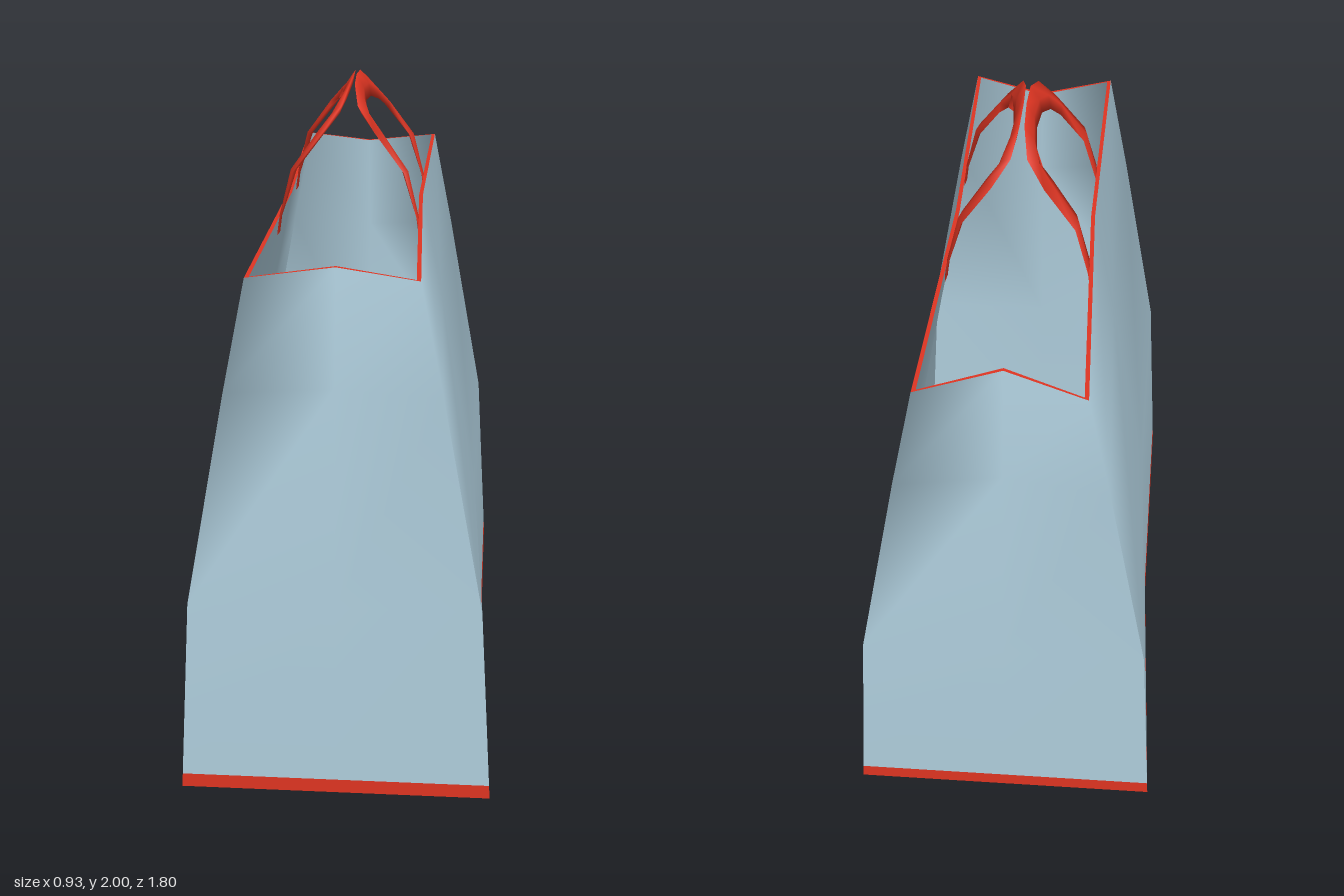
import * as THREE from 'three';

const blue = new THREE.MeshStandardMaterial({ color: 0xb0cfde });
blue.name = 'pale blue paper';
const red = new THREE.MeshStandardMaterial({ color: 0xe03522 });
red.name = 'red trim';

const DEPTH = 0.9, WALL = 0.012;
// Bag profile: height, half width, inward fold of the end panels, soft corners
const BASE = { y: 0, w: 0.465, fold: 0 };
const LEVELS = [
  { y: 0.045, w: 0.462, fold: 0 },
  { y: 0.63, w: 0.425, fold: 0 },
  { y: 1.29, w: 0.302, fold: 0.05, soft: true },
  { y: 1.62, w: 0.235, fold: 0.11, soft: true },
];

// Eight points around the bag, counterclockwise from above
function ring({ y, w, fold }, inset = 0) {
  const a = w - inset, m = a - 0.02, d = DEPTH - inset, e = d - fold;
  return [[a, d], [m, 0], [a, -d], [0, -e], [-a, -d], [-m, 0], [-a, d], [0, e]]
    .map(([x, z]) => [x, y, z]);
}

function build(points, index) {
  const g = new THREE.BufferGeometry();
  g.setAttribute('position', new THREE.Float32BufferAttribute(points.flat(), 3));
  g.setIndex(index);
  g.computeVertexNormals();
  return g;
}

// Four panels of two strips each; corners are shared only on soft levels
function walls(levels, inset, flip) {
  const points = [], index = [];
  for (const level of levels) {
    const r = ring(level, inset);
    for (let p = 0; p < 4; p++) for (let k = 0; k < 3; k++) points.push(r[(p * 2 + k) % 8]);
  }
  const id = (l, p, k) => l * 12 + (levels[l].soft && k === 2 ? ((p + 1) % 4) * 3 : p * 3 + k);
  for (let l = 0; l < levels.length - 1; l++)
    for (let p = 0; p < 4; p++)
      for (let k = 0; k < 2; k++) {
        const a = id(l, p, k), b = id(l, p, k + 1), c = id(l + 1, p, k + 1), d = id(l + 1, p, k);
        index.push(...(flip ? [a, c, b, a, d, c] : [a, b, c, a, c, d]));
      }
  return build(points, index);
}

// Flat sheet closing a ring
function sheet(points, faceUp) {
  const index = [];
  for (let i = 0; i < 8; i++) {
    const j = (i + 1) % 8;
    index.push(8, ...(faceUp ? [i, j] : [j, i]));
  }
  return build([...points, [0, points[0][1], 0]], index);
}

// Thin strip joining the outer and inner top edges
function rim() {
  const top = LEVELS[LEVELS.length - 1], index = [];
  for (let i = 0; i < 8; i++) {
    const j = (i + 1) % 8;
    index.push(i, j, j + 8, i, j + 8, i + 8);
  }
  return build([...ring(top), ...ring(top, WALL)], index);
}

// Sideways lean of a handle at a given height
const LEAN = [[1.56, 0.215], [1.62, 0.207], [1.68, 0.195], [1.78, 0.16], [1.86, 0.095], [1.92, 0.035], [2, 0.004]];
function lean(y) {
  let i = 1;
  while (i < LEAN.length - 1 && y > LEAN[i][0]) i++;
  const [y0, x0] = LEAN[i - 1], [y1, x1] = LEAN[i];
  return x0 + (x1 - x0) * (y - y0) / (y1 - y0);
}

// Flattened arched band: outer z, y; inner z, y; half thickness
function handle() {
  const half = [
    [0.318, 1.57, 0.232, 1.57, 0.004],
    [0.315, 1.62, 0.23, 1.62, 0.004],
    [0.303, 1.76, 0.217, 1.76, 0.009],
    [0.285, 1.88, 0.195, 1.86, 0.012],
    [0.24, 1.95, 0.175, 1.89, 0.012],
    [0.125, 1.992, 0.11, 1.912, 0.01],
    [0, 2, 0, 1.92, 0.008],
  ];
  const mirrored = half.slice(0, -1).reverse().map(([a, b, c, d, t]) => [-a, b, -c, d, t]);
  const stations = [...half, ...mirrored];
  const points = [], index = [];
  for (const [oz, oy, iz, iy, t] of stations) {
    const my = (oy + iy) / 2, mz = (oz + iz) / 2, mx = (lean(oy) + lean(iy)) / 2;
    points.push([lean(oy), oy, oz], [mx + t, my, mz], [lean(iy), iy, iz], [mx - t, my, mz]);
  }
  for (let s = 0; s < stations.length - 1; s++)
    for (let i = 0; i < 4; i++) {
      const a = s * 4 + i, b = s * 4 + (i + 1) % 4;
      index.push(a, b, b + 4, a, b + 4, a + 4);
    }
  return build(points, index);
}

export function createModel() {
  const bag = new THREE.Group();
  bag.name = 'shoppingBag';
  const add = (name, geometry, material) => {
    const mesh = new THREE.Mesh(geometry, material);
    mesh.name = name;
    bag.add(mesh);
    return mesh;
  };
  // Paper body, outside and inside
  add('outerWalls', walls(LEVELS, 0, false), blue);
  add('innerWalls', walls(LEVELS, WALL, true), blue);
  // Red base, floor and rim
  add('baseBand', walls([BASE, LEVELS[0]], 0, false), red);
  add('bottom', sheet(ring(BASE), false), red);
  add('floor', sheet(ring(LEVELS[0], WALL), true), red);
  add('rim', rim(), red);
  // Two handles leaning together
  const band = handle();
  add('leftHandle', band, red);
  add('rightHandle', band, red).rotation.y = Math.PI;
  return bag;
}
